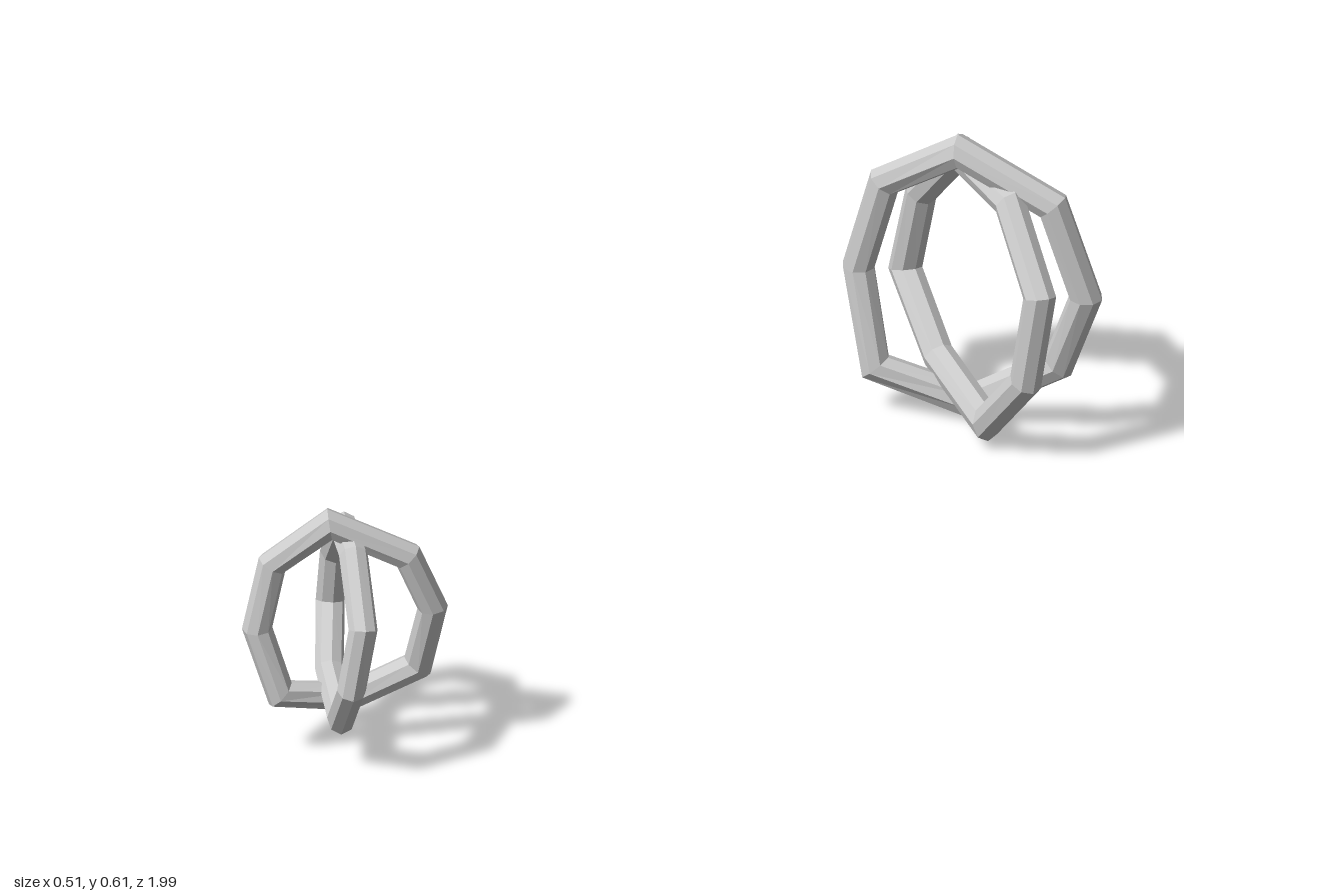
import * as THREE from 'three';

// Faceted closed ring: an octagonal section mitred around a loop of corners
// (corners run counter-clockwise as seen from the front)
function ringGeometry(corners, radius, sides = 8) {
  const pts = corners.map((c) => new THREE.Vector3(...c));
  const n = pts.length;
  const normal = new THREE.Vector3();
  pts.forEach((p, i) => normal.add(p.clone().sub(pts[0]).cross(pts[(i + 1) % n].clone().sub(pts[0]))));
  normal.normalize();

  // outward direction of each edge in the ring's plane
  const edgeOut = pts.map((p, i) =>
    pts[(i + 1) % n].clone().sub(p).cross(normal).normalize());

  const positions = [];
  const index = [];
  for (let i = 0; i < n; i++) {
    const before = edgeOut[(i + n - 1) % n];
    const out = before.clone().add(edgeOut[i]).normalize();
    out.divideScalar(out.dot(before));
    for (let k = 0; k < sides; k++) {
      const a = (k / sides) * Math.PI * 2;
      const v = pts[i].clone()
        .addScaledVector(out, radius * Math.cos(a))
        .addScaledVector(normal, radius * Math.sin(a));
      positions.push(v.x, v.y, v.z);
      const i2 = ((i + 1) % n) * sides;
      const k2 = (k + 1) % sides;
      const [p, q, r, s] = [i * sides + k, i2 + k, i2 + k2, i * sides + k2];
      index.push(p, q, r, p, r, s);
    }
  }
  const geometry = new THREE.BufferGeometry();
  geometry.setAttribute('position', new THREE.Float32BufferAttribute(positions, 3));
  geometry.setIndex(index);
  geometry.computeVertexNormals();
  return geometry;
}

export function createModel() {
  const model = new THREE.Group();
  const material = new THREE.MeshStandardMaterial({ color: 0xcccccc, flatShading: true });

  // Two pairs of crossed eight-cornered rings
  const pairs = [
    {
      name: 'backRings', radius: 0.03,
      rings: {
        upperRing: [
          [0, 0.575, -0.86], [-0.16, 0.47, -0.835], [-0.212, 0.285, -0.822], [-0.165, 0.095, -0.815],
          [-0.018, 0.036, -0.91], [0.152, 0.148, -0.962], [0.222, 0.31, -0.958], [0.167, 0.49, -0.93],
        ],
        lowerRing: [
          [0.105, 0.495, -0.88], [-0.055, 0.53, -0.925], [-0.172, 0.4, -0.952], [-0.222, 0.222, -0.965],
          [-0.09, 0.108, -0.905], [0.083, 0.052, -0.84], [0.195, 0.18, -0.82], [0.224, 0.36, -0.826],
        ],
      },
    },
    {
      name: 'frontRings', radius: 0.027,
      rings: {
        upperRing: [
          [-0.008, 0.48, 0.9], [-0.105, 0.385, 0.95], [-0.124, 0.255, 0.97], [-0.085, 0.125, 0.95],
          [-0.014, 0.1, 0.835], [0.075, 0.16, 0.75], [0.122, 0.3, 0.762], [0.095, 0.41, 0.8],
        ],
        lowerRing: [
          [0.045, 0.43, 0.895], [-0.035, 0.437, 0.83], [-0.105, 0.345, 0.775], [-0.13, 0.23, 0.758],
          [-0.065, 0.138, 0.835], [0.042, 0.108, 0.925], [0.103, 0.2, 0.968], [0.12, 0.325, 0.955],
        ],
      },
    },
  ];

  for (const { name, radius, rings } of pairs) {
    const group = new THREE.Group();
    group.name = name;
    for (const [ringName, corners] of Object.entries(rings)) {
      const mesh = new THREE.Mesh(ringGeometry(corners, radius), material);
      mesh.name = ringName;
      group.add(mesh);
    }
    model.add(group);
  }
  return model;
}
